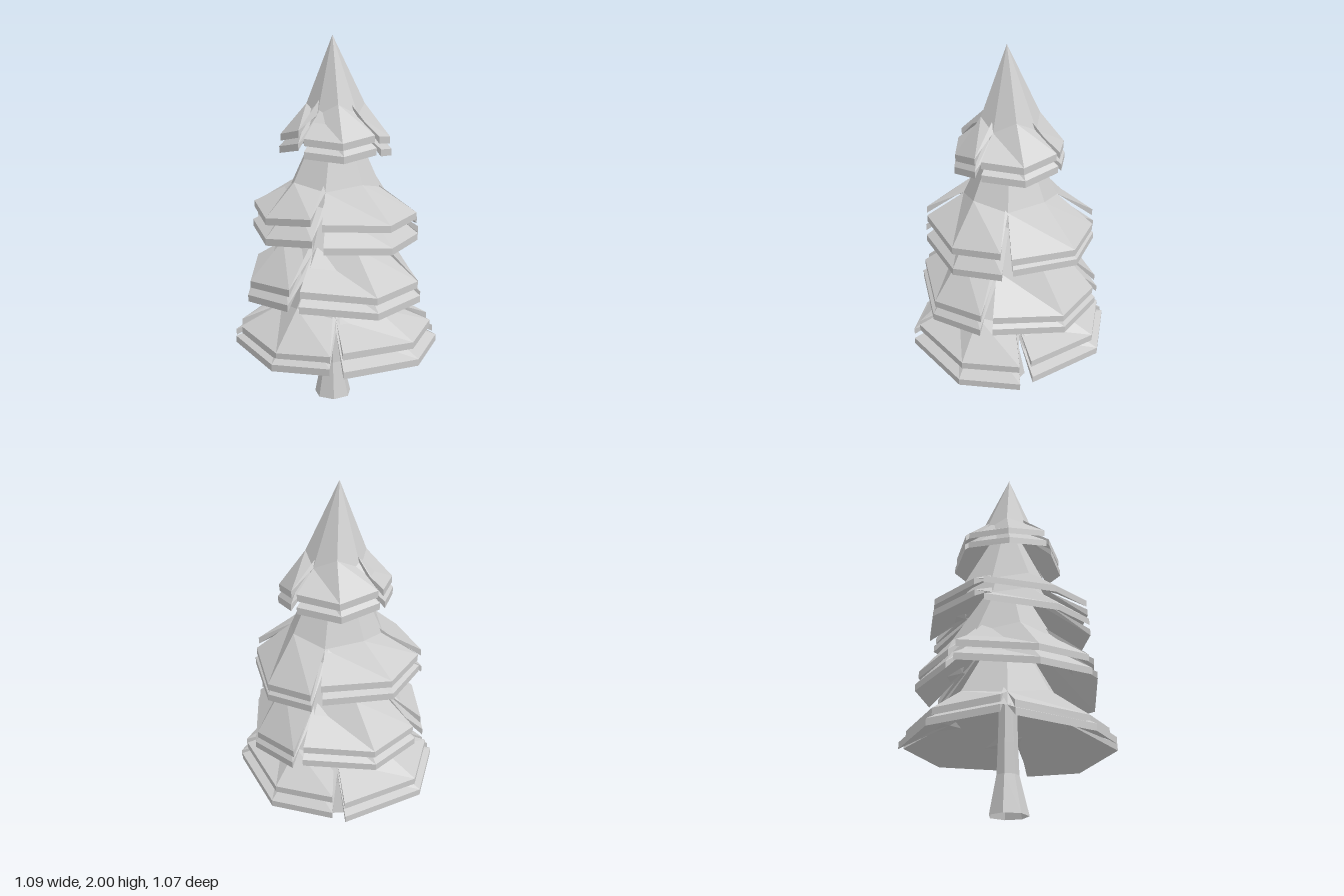
import * as THREE from 'three';

const material = new THREE.MeshStandardMaterial({ color: 0xcccccc, flatShading: true, side: THREE.DoubleSide });
const deg = Math.PI / 180;

function facetGeometry(positions) {
  const g = new THREE.BufferGeometry();
  g.setAttribute('position', new THREE.Float32BufferAttribute(positions, 3));
  g.computeVertexNormals();
  return g;
}

const polar = (a, r, y, x = 0, z = 0) => [x + r * Math.sin(a * deg), y, z + r * Math.cos(a * deg)];

// One skirt of four drooping panels, parted by V-shaped slits at the rim.
// Each panel bends once on top and is a plain cone underneath.
function skirtGeometry({ apex, core, bend, seam, slits, skew, radius, height, lift, tip = [0, 0] }, drops, turn, grow) {
  const out = [];
  const tri = (a, b, c) => out.push(...a, ...b, ...c);
  const quad = (a, b, c, d) => { tri(a, b, c); tri(a, c, d); };
  const thick = 0.036;
  const drop = (drops[0] + drops[1] + drops[2] + drops[3]) / 4;
  const top = [tip[0], apex - drop, tip[1]];
  const hollow = [tip[0], core - drop, tip[1]];

  for (let p = 0; p < 4; p++) {
    const start = slits[p] + turn;
    const end = (p < 3 ? slits[p + 1] : slits[0] + 360) + turn;
    const middle = (start + end) / 2;
    // seams sit lower than the bulge in the middle of the panel
    const mid = [
      polar(start, seam[0], seam[1] - drop),
      polar(middle, bend[0], bend[1] - drop),
      polar(end, seam[0], seam[1] - drop),
    ];
    const edge = [start + 3.5, middle + skew, end - 3.5].map((a, c) =>
      polar(a, radius[p] + grow, height[p] - drops[p] + lift[c]));
    const under = edge.map(([x, y, z]) => [x, y - thick, z]);

    for (let c = 0; c < 2; c++) {
      // top surface, rim and underside
      tri(top, mid[c], mid[c + 1]);
      quad(mid[c], edge[c], edge[c + 1], mid[c + 1]);
      quad(edge[c], under[c], under[c + 1], edge[c + 1]);
      tri(hollow, under[c + 1], under[c]);
    }
    // slit walls
    quad(mid[0], hollow, under[0], edge[0]);
    quad(edge[2], under[2], hollow, mid[2]);
  }
  return facetGeometry(out);
}

// Flared open trunk from stacked seven-sided rings: radius, height, centre x, centre z
function trunkGeometry() {
  const rings = [[0.104, 0, -0.01, 0.015], [0.06, 0.2, -0.015, 0.012], [0.054, 0.36, -0.015, 0.012], [0.045, 0.75, -0.01, 0.01]];
  const out = [];
  const n = 7;
  const at = (row, i) => polar((i % n) * 360 / n + 25, rings[row][0], rings[row][1], rings[row][2], rings[row][3]);
  for (let i = 0; i < n; i++) {
    for (let r = 0; r < rings.length - 1; r++) {
      const a = at(r + 1, i), b = at(r, i), c = at(r, i + 1), d = at(r + 1, i + 1);
      out.push(...a, ...b, ...c, ...a, ...c, ...d);
    }
  }
  return facetGeometry(out);
}

export function createModel() {
  const tree = new THREE.Group();
  tree.name = 'pineTree';

  const trunk = new THREE.Mesh(trunkGeometry(), material);
  trunk.name = 'trunk';
  tree.add(trunk);

  // Tiers from bottom to top. Bend and seam are [radius, height]; slits, radius,
  // height and drops run panel by panel; lift raises the start, middle and end of
  // a rim; skew turns its middle corner.
  const tiers = [
    {
      name: 'bottomTier', apex: 1.1, core: 0.72, bend: [0.31, 0.58], seam: [0.3, 0.545],
      slits: [22, 109, 201.5, 298], skew: 6,
      radius: [0.53, 0.515, 0.525, 0.525], height: [0.435, 0.46, 0.43, 0.41], lift: [0.015, 0, 0.02],
      drops: [0.085, 0.075, 0.06, 0.05], turn: 0, grow: 0.035,
    },
    {
      name: 'lowerTier', apex: 1.42, core: 1.17, bend: [0.3, 0.925], seam: [0.29, 0.89],
      slits: [-3, 86, 176, 264], skew: 5,
      radius: [0.495, 0.475, 0.475, 0.495], height: [0.71, 0.68, 0.71, 0.725], lift: [0.04, 0, 0.025],
      drops: [0.075, 0.06, 0.07, 0.075], turn: 0, grow: 0.015,
    },
    {
      name: 'upperTier', apex: 1.75, core: 1.38, bend: [0.26, 1.245], seam: [0.25, 1.21],
      slits: [9.5, 97.5, 187, 279], skew: 6,
      radius: [0.45, 0.445, 0.445, 0.457], height: [1.06, 1.025, 1.085, 1.085], lift: [0.025, 0, 0.025],
      drops: [0.115, 0.055, 0.07, 0.105], turn: 1, grow: 0.008,
    },
    {
      name: 'topTier', apex: 2, core: 1.77, bend: [0.155, 1.65], seam: [0.16, 1.595],
      slits: [-14.5, 67.5, 155, 249], skew: 2, tip: [-0.01, 0.02],
      radius: [0.296, 0.294, 0.29, 0.295], height: [1.465, 1.47, 1.48, 1.49], lift: [0.02, 0, 0.035],
      drops: [0.065, 0.065, 0.065, 0.065], turn: 1, grow: 0.008,
    },
  ];
  for (const tier of tiers) {
    const group = new THREE.Group();
    group.name = tier.name;
    const upper = new THREE.Mesh(skirtGeometry(tier, [0, 0, 0, 0], 0, 0), material);
    upper.name = 'upperSkirt';
    const lower = new THREE.Mesh(skirtGeometry(tier, tier.drops, tier.turn, tier.grow), material);
    lower.name = 'lowerSkirt';
    group.add(upper, lower);
    tree.add(group);
  }
  return tree;
}
